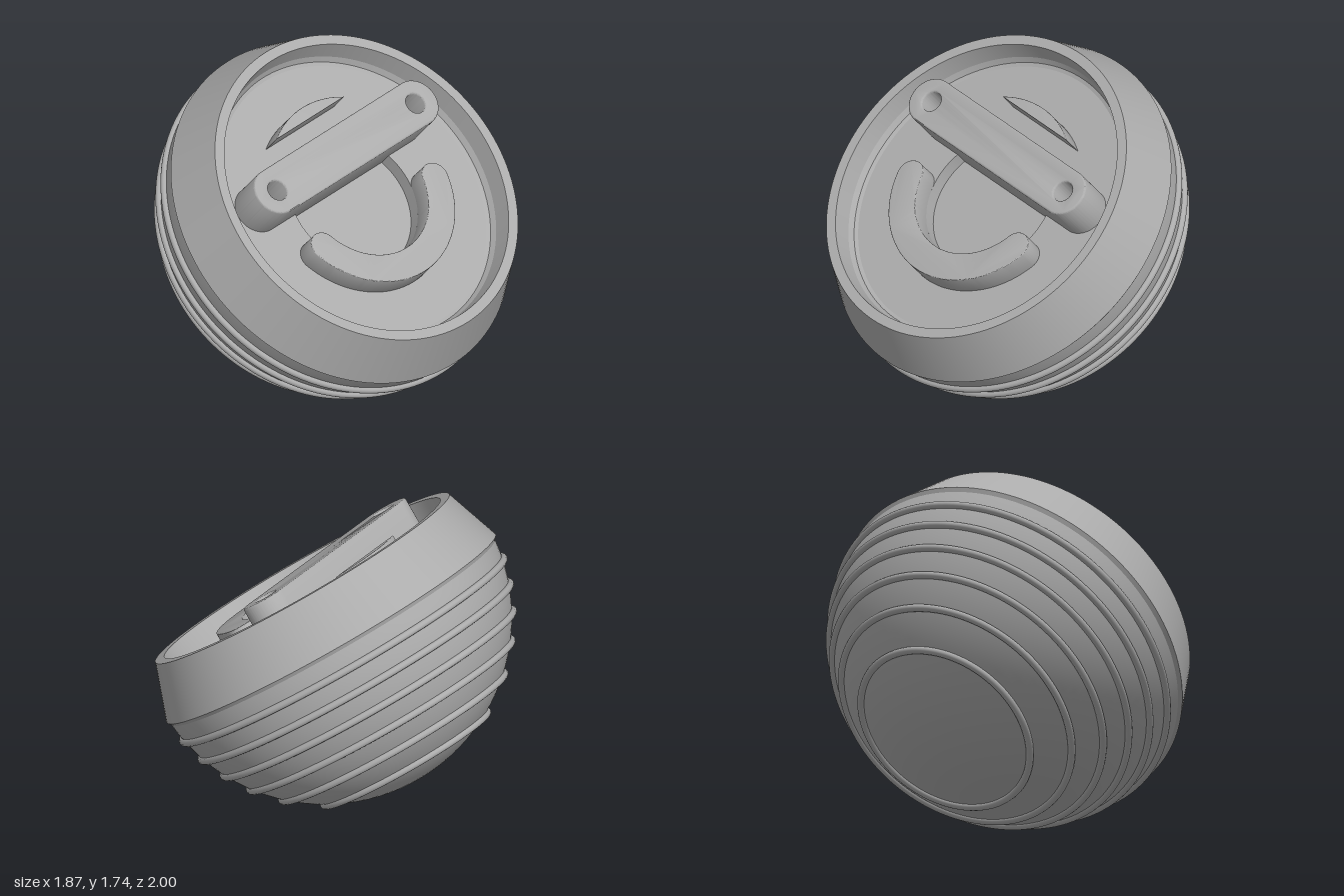
import * as THREE from 'three';
import { toCreasedNormals } from 'three/addons/utils/BufferGeometryUtils.js';

export function createModel() {
  const model = new THREE.Group();
  model.name = 'tiltedBowl';
  const grey = new THREE.MeshStandardMaterial({ color: 0xacacac });
  grey.name = 'grey';

  // Everything is built upright, with the widest circle at y = 0, then tilted.
  const body = new THREE.Group();
  body.name = 'body';
  body.position.set(0.0475, 0.96, 0);
  body.rotation.z = -Math.atan2(0.6, 0.8);
  model.add(body);

  const add = (name, geometry) => {
    const mesh = new THREE.Mesh(geometry, grey);
    mesh.name = name;
    body.add(mesh);
    return mesh;
  };

  // Stands a flat outline up between two heights; outline y becomes -z.
  const raise = (shape, bottom, top, bevel) => {
    const g = new THREE.ExtrudeGeometry(shape, {
      depth: top - bottom - bevel, curveSegments: 32,
      bevelEnabled: true, bevelThickness: bevel, bevelSize: bevel,
      bevelOffset: -bevel, bevelSegments: 3,
    });
    g.rotateX(-Math.PI / 2);
    g.translate(0, bottom, 0);
    return toCreasedNormals(g, 0.6);
  };

  // Shell: round underside, sloping collar, rim, sunken floor, round recess
  const R = 0.988, centre = 0.067, floor = 0.15, recess = 0.07;
  const profile = [];
  const last = Math.acos((centre + 0.02) / R);
  for (let i = 0; i <= 28; i++) {
    const a = (last * i) / 28;
    profile.push(new THREE.Vector2(R * Math.sin(a), centre - R * Math.cos(a)));
  }
  [[1, 0], [0.893, 0.306], [0.838, 0.306], [0.822, 0.19], [0.805, 0.158], [0.785, floor],
    [0.38, floor], [0.38, recess], [0, recess]]
    .forEach(([r, y]) => profile.push(new THREE.Vector2(r, y)));
  add('shell', toCreasedNormals(new THREE.LatheGeometry(profile, 128), 0.3));

  // Six raised rings around the underside
  for (let i = 0; i < 6; i++) {
    const y = -0.13 - 0.1328 * i;
    const r = Math.sqrt(0.994 ** 2 - (y - centre) ** 2);
    const ring = add('ring' + (i + 1), new THREE.TorusGeometry(r, 0.02, 12, 128));
    ring.rotation.x = Math.PI / 2;
    ring.position.y = y;
  }

  // Crossbar with round ends and two screw holes
  const barX = -0.23, half = 0.13, endZ = 0.555;
  const bar = new THREE.Shape();
  bar.absarc(barX, endZ, half, 0, Math.PI, false);
  bar.absarc(barX, -endZ, half, Math.PI, Math.PI * 2, false);
  bar.closePath();
  for (const s of [-1, 1]) {
    const hole = new THREE.Path();
    hole.absarc(barX, s * 0.545, 0.056, 0, Math.PI * 2, true);
    bar.holes.push(hole);
  }
  add('crossbar', raise(bar, recess, 0.38, 0.01));

  // Curved ridge with rounded ends, around the open side of the recess
  const inner = 0.38, outer = 0.538, mid = (inner + outer) / 2, cap = (outer - inner) / 2;
  const sweep = 1.26;
  const ridge = new THREE.Shape();
  ridge.absarc(0, 0, outer, -sweep, sweep, false);
  ridge.absarc(mid * Math.cos(sweep), mid * Math.sin(sweep), cap, sweep, sweep + Math.PI, false);
  ridge.absarc(0, 0, inner, sweep, -sweep, true);
  ridge.absarc(mid * Math.cos(sweep), -mid * Math.sin(sweep), cap, Math.PI - sweep, Math.PI * 2 - sweep, false);
  add('curvedRidge', raise(ridge, floor, 0.278, 0.004));

  // Small ridge behind the crossbar: an arc closed by a straight edge
  const spread = Math.acos(0.475 / 0.545);
  const sliver = new THREE.Shape();
  sliver.absarc(0, 0, 0.545, Math.PI - spread, Math.PI + spread, false);
  sliver.closePath();
  add('smallRidge', raise(sliver, floor, 0.278, 0.004));

  return model;
}
